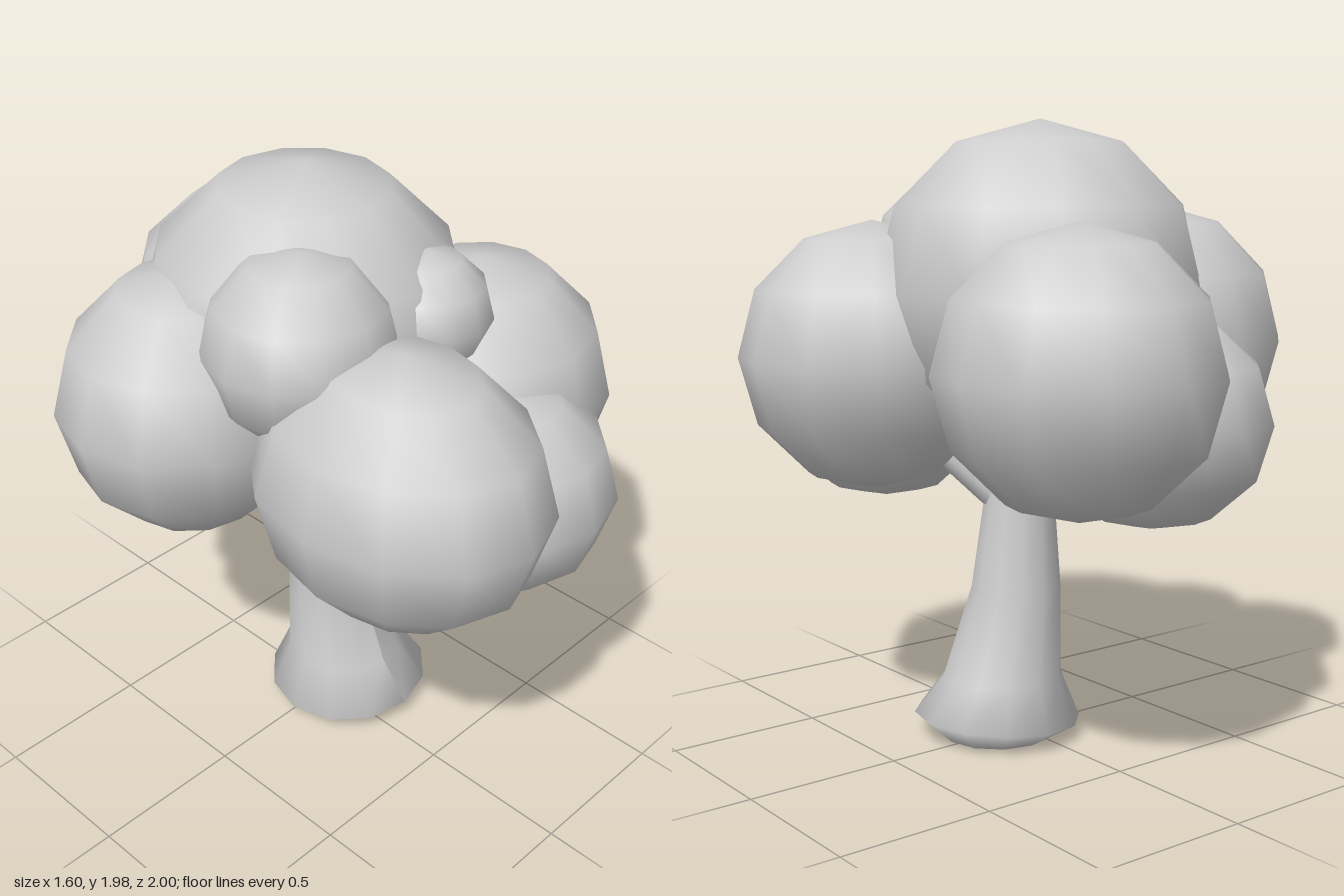
import * as THREE from 'three';

export function createModel() {
  const group = new THREE.Group();
  group.name = 'tree';
  const grey = new THREE.MeshStandardMaterial({ color: 0xcccccc });
  grey.name = 'plain grey';

  const add = (name, geometry) => {
    const mesh = new THREE.Mesh(geometry, grey);
    mesh.name = name;
    group.add(mesh);
    return mesh;
  };

  // Foliage: low-poly ellipsoids [name, centre, radii]
  const clumps = [
    ['crownFoliage', [-0.01, 1.455, -0.09], [0.52, 0.525, 0.53]],
    ['backFoliage', [0.22, 1.25, -0.56], [0.425, 0.43, 0.44]],
    ['frontFoliage', [-0.23, 1.24, 0.51], [0.39, 0.43, 0.485]],
    ['leftFoliage', [0.37, 1.24, 0.285], [0.43, 0.43, 0.42]],
    ['rightFoliage', [-0.37, 1.29, -0.22], [0.43, 0.43, 0.4]],
    ['lowerFrontFoliage', [0.17, 1.07, 0.53], [0.375, 0.345, 0.39]],
    ['lowerBackFoliage', [-0.18, 1.07, -0.43], [0.37, 0.345, 0.385]],
    ['upperSideFoliage', [-0.27, 1.57, 0.15], [0.295, 0.295, 0.3]],
    ['smallFrontFoliage', [0.12, 1.58, 0.285], [0.2, 0.2, 0.205]],
  ];
  for (const [name, centre, radii] of clumps) {
    add(name, new THREE.SphereGeometry(1, 12, 6).scale(...radii).translate(...centre));
  }

  // Trunk: leaning, flared column through sections [y, x, z, radius, tilt]
  const sections = [
    [0, 0.075, 0.025, 0.185, 0],
    [0.06, 0.075, 0.025, 0.272, 0.07],
    [0.2, 0.065, 0.01, 0.193, 0],
    [0.5, 0.035, -0.025, 0.145, 0],
    [0.78, 0.022, -0.025, 0.115, 0],
    [1.2, 0, -0.055, 0.07, 0],
  ];
  const steps = sections.length - 1;
  const trunk = new THREE.CylinderGeometry(1, 1, steps, 12, steps);
  const pos = trunk.attributes.position;
  for (let i = 0; i < pos.count; i++) {
    const [y, x, z, r, tilt] = sections[Math.round(pos.getY(i) + steps / 2)];
    const px = pos.getX(i) * r;
    pos.setXYZ(i, x + px, y + px * tilt, z + pos.getZ(i) * r);
  }
  trunk.computeVertexNormals();
  add('trunk', trunk);

  // Branches from the trunk into the foliage
  const branches = [
    ['leftBranch', [0.04, 0.75, -0.01], [0.32, 1.05, 0.18]],
    ['backBranch', [0.03, 0.82, -0.05], [0.2, 1.1, -0.42]],
    ['frontBranch', [0, 0.7, 0.03], [-0.2, 1.0, 0.42]],
    ['rightBranch', [0, 0.75, -0.03], [-0.25, 1.05, -0.25]],
  ];
  for (const [name, from, to] of branches) {
    const a = new THREE.Vector3(...from), b = new THREE.Vector3(...to);
    const dir = b.clone().sub(a);
    const mesh = add(name, new THREE.CylinderGeometry(0.04, 0.055, dir.length(), 8));
    mesh.position.copy(a).add(b).multiplyScalar(0.5);
    mesh.quaternion.setFromUnitVectors(new THREE.Vector3(0, 1, 0), dir.normalize());
  }
  return group;
}
